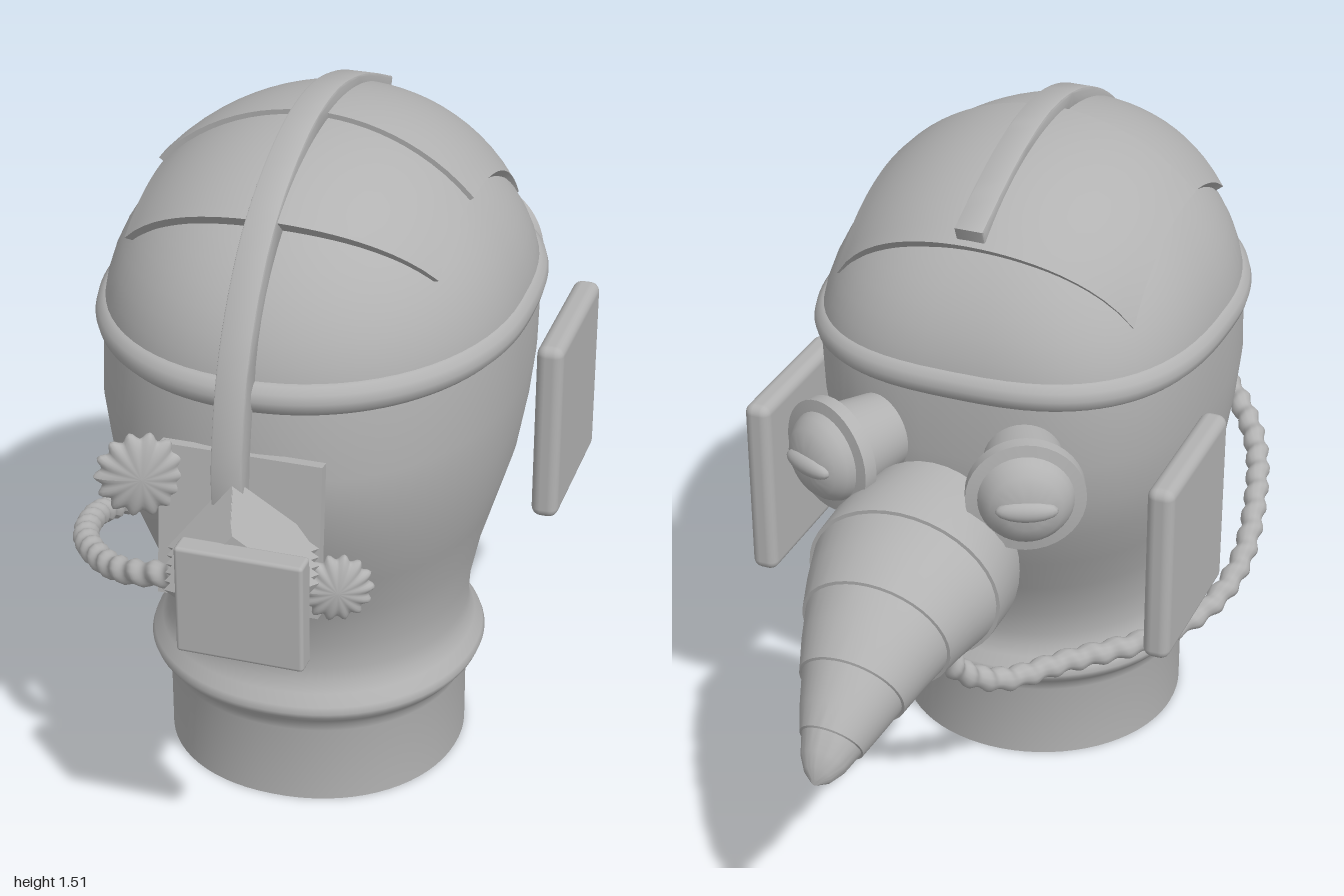
import * as THREE from 'three';
import { toCreasedNormals } from 'three/addons/utils/BufferGeometryUtils.js';
import { RoundedBoxGeometry } from 'three/addons/geometries/RoundedBoxGeometry.js';

const V = (x, y, z) => new THREE.Vector3(x, y, z);

// Closed skin over a list of equal rings, with both ends capped
function loft(rings, crease = 0.6) {
  const n = rings[0].length, pos = [], idx = [];
  rings.forEach(r => r.forEach(p => pos.push(p.x, p.y, p.z)));
  for (let i = 0; i < rings.length - 1; i++) {
    for (let j = 0; j < n; j++) {
      const a = i * n + j, b = i * n + (j + 1) % n, c = a + n, d = b + n;
      idx.push(a, c, b, b, c, d);
    }
  }
  [0, rings.length - 1].forEach((row, end) => {
    const mid = V(0, 0, 0);
    rings[row].forEach(p => mid.addScaledVector(p, 1 / n));
    const m = pos.length / 3;
    pos.push(mid.x, mid.y, mid.z);
    for (let j = 0; j < n; j++) {
      const a = row * n + j, b = row * n + (j + 1) % n;
      idx.push(m, end ? b : a, end ? a : b);
    }
  });
  const g = new THREE.BufferGeometry();
  g.setAttribute('position', new THREE.Float32BufferAttribute(pos, 3));
  g.setIndex(idx);
  return toCreasedNormals(g, crease);
}

// Horizontal oval: round at the back (+z), squarer at the face (-z)
function oval(y, rx, zBack, zFace, nFace, count = 72) {
  const cz = (zBack + zFace) / 2, rz = (zBack - zFace) / 2;
  return Array.from({ length: count }, (_, j) => {
    const t = j / count * Math.PI * 2, c = Math.cos(t), s = Math.sin(t);
    const e = 2 / (s < 0 ? nFace : 2.1);
    return V(0.01 + rx * Math.sign(c) * Math.abs(c) ** e, y, cz + rz * Math.sign(s) * Math.abs(s) ** e);
  });
}

export function createModel() {
  const model = new THREE.Group();
  const grey = new THREE.MeshStandardMaterial({ color: 0xb2b2b2 });
  grey.name = 'grey';
  const add = (name, geometry, parent = model) => {
    const mesh = new THREE.Mesh(geometry, grey);
    mesh.name = name;
    parent.add(mesh);
    return mesh;
  };

  // Neck, collar, face and dome: y, half width, back z, face z, squareness
  const rows = [
    [0, 0.33, 0.56, -0.1, 2], [0.18, 0.33, 0.56, -0.1, 2], [0.2, 0.335, 0.565, -0.106, 2],
    [0.22, 0.352, 0.582, -0.126, 2], [0.235, 0.365, 0.595, -0.14, 2], [0.248, 0.37, 0.6, -0.145, 2],
    [0.262, 0.365, 0.594, -0.139, 2], [0.285, 0.347, 0.575, -0.121, 2], [0.31, 0.336, 0.563, -0.111, 2],
    [0.34, 0.332, 0.56, -0.11, 2], [0.4, 0.335, 0.565, -0.12, 2], [0.5, 0.355, 0.6, -0.165, 2.1],
    [0.6, 0.385, 0.65, -0.22, 2.2], [0.7, 0.415, 0.695, -0.26, 2.4], [0.8, 0.43, 0.73, -0.29, 2.6],
    [0.9, 0.44, 0.745, -0.3, 2.7], [1.05, 0.44, 0.72, -0.3, 2.8]];
  for (let i = 1; i <= 14; i++) {
    const t = i / 14 * 1.56, k = Math.cos(t);
    rows.push([1.05 + 0.39 * Math.sin(t), 0.44 * k, 0.21 + 0.51 * k, 0.21 - 0.51 * k, 2.8 - 0.8 * i / 14]);
  }
  add('head', loft(rows.map(r => oval(...r)), 0.9));

  // Band around the brow
  const bandPath = new THREE.CatmullRomCurve3(oval(1.07, 0.42, 0.705, -0.28, 2.8, 48), true);
  add('browBand', new THREE.TubeGeometry(bandPath, 120, 0.036, 12, true));

  // Curved plates on the dome, bent from boxes; q is 0 in the middle and 1 at the sides
  function domePlate(name, zFace, zBack, scale) {
    const g = new THREE.BoxGeometry(1, 1, 1, 24, 1, 16), p = g.attributes.position;
    for (let i = 0; i < p.count; i++) {
      const x = p.getX(i) * 0.68, q = (x / 0.34) ** 2;
      const z0 = zFace(q), z = z0 + (zBack(q) - z0) * (p.getZ(i) + 0.5) - 0.21;
      const y = 0.435 * Math.sqrt(Math.max(0.02, 1 - (x / 0.455) ** 2 - (z / 0.585) ** 2));
      const k = p.getY(i) > 0 ? scale : scale * 0.9;
      p.setXYZ(i, 0.01 + x * k, 1.05 + y * k, 0.21 + z * k);
    }
    add(name, toCreasedNormals(g, 0.6));
  }
  domePlate('facePlate', q => -0.21 + 0.08 * q, () => 0.25, 1);
  domePlate('backPlate', () => 0.2, q => 0.58 - 0.1 * q, 0.975);

  // Crest strap running over the dome and down the back
  const crest = new THREE.SplineCurve([[-0.21, 1.39], [0, 1.475], [0.2, 1.51], [0.4, 1.475], [0.6, 1.36],
    [0.74, 1.17], [0.8, 0.95], [0.79, 0.78], [0.74, 0.59]].map(p => new THREE.Vector2(...p)));
  const outer = [], inner = [];
  for (let i = 0; i <= 48; i++) {
    const p = crest.getPoint(i / 48), t = crest.getTangent(i / 48);
    outer.push(p);
    inner.unshift(new THREE.Vector2(p.x + t.y * 0.055, p.y - t.x * 0.055));
  }
  const strap = new THREE.ExtrudeGeometry(new THREE.Shape([...outer, ...inner]),
    { depth: 0.055, bevelThickness: 0.005, bevelSize: 0.005, bevelOffset: -0.005, bevelSegments: 2 });
  strap.rotateY(-Math.PI / 2).translate(0.0355, 0, 0);
  add('crestStrap', toCreasedNormals(strap, 0.5));

  // Ear panels
  [['leftEarPanel', 0.475], ['rightEarPanel', -0.455]].forEach(([name, x]) =>
    add(name, new RoundedBoxGeometry(0.06, 0.42, 0.37, 3, 0.022)).position.set(x, 0.71, -0.12));

  // Overlapping beak segments: z, y, half width, half height, lean
  const beak = [
    [-0.4, 0.72, 0.195, 0.22, 0], [-0.5, 0.737, 0.213, 0.195, 0], [-0.56, 0.735, 0.216, 0.18, 0.01],
    [-0.56, 0.735, 0.208, 0.172, 0.01], [-0.63, 0.722, 0.188, 0.157, 0.02], [-0.7, 0.7, 0.165, 0.14, 0.03],
    [-0.7, 0.7, 0.158, 0.133, 0.03], [-0.76, 0.675, 0.138, 0.119, 0.035], [-0.82, 0.64, 0.115, 0.1, 0.04],
    [-0.82, 0.64, 0.109, 0.094, 0.04], [-0.88, 0.604, 0.086, 0.076, 0.038], [-0.92, 0.577, 0.068, 0.062, 0.035],
    [-0.92, 0.577, 0.063, 0.057, 0.035], [-0.96, 0.555, 0.048, 0.043, 0.022], [-0.985, 0.542, 0.03, 0.028, 0.01],
    [-1, 0.535, 0.008, 0.008, 0]];
  add('beak', loft(beak.map(([z, y, rx, ry, lean]) => Array.from({ length: 40 }, (_, j) => {
    const t = j / 40 * Math.PI * 2;
    return V(0.01 + rx * Math.cos(t), y + ry * Math.sin(t), z - lean * Math.sin(t));
  }))));

  // Eyes: stalk, flange and bulging lens with a lidded slit
  const eyeProfile = [[0, -0.14], [0.085, -0.14], [0.1, -0.018], [0.125, -0.016], [0.125, 0.014], [0.1, 0.018],
    [0.092, 0.035], [0.075, 0.054], [0.045, 0.068], [0.0001, 0.074]].map(p => new THREE.Vector2(...p));
  [['leftEye', 1], ['rightEye', -1]].forEach(([name, side]) => {
    const eye = new THREE.Group();
    eye.name = name;
    eye.position.set(0.01 + side * 0.22, 0.93, -0.43);
    eye.rotation.y = Math.atan2(side * 0.4, -0.9);
    add('eyeBody', toCreasedNormals(new THREE.LatheGeometry(eyeProfile, 36).rotateX(Math.PI / 2), 0.6), eye);
    add('eyeSlit', new THREE.SphereGeometry(1, 20, 12).scale(0.065, 0.024, 0.022), eye).position.z = 0.064;
    model.add(eye);
  });

  // Ribbed hose from the beak around the right side to the back valve
  const hosePath = new THREE.CatmullRomCurve3([[-0.04, 0.58, -0.5], [-0.06, 0.46, -0.44], [-0.12, 0.385, -0.34],
    [-0.22, 0.37, -0.2], [-0.36, 0.375, -0.06], [-0.45, 0.4, 0.07], [-0.482, 0.44, 0.2], [-0.465, 0.51, 0.37],
    [-0.4, 0.57, 0.56], [-0.25, 0.635, 0.74], [-0.08, 0.7, 0.82]].map(p => V(...p)));
  const hose = new THREE.TubeGeometry(hosePath, 320, 0.025, 12), hp = hose.attributes.position, hn = hose.attributes.normal;
  for (let i = 0; i < hp.count; i++) {
    const bump = 0.004 * Math.sin(Math.floor(i / 13) / 320 * Math.PI * 2 * 30 + (i % 13) / 12 * Math.PI * 2);
    hp.setXYZ(i, hp.getX(i) + hn.getX(i) * bump, hp.getY(i) + hn.getY(i) * bump, hp.getZ(i) + hn.getZ(i) * bump);
  }
  hose.computeVertexNormals();
  add('hose', hose);

  // Back valve: mounting plate, square bellows turned on edge and end plate
  const mount = add('valveMount', new THREE.BoxGeometry(0.34, 0.33, 0.025));
  mount.position.set(0.02, 0.79, 0.755);
  mount.rotation.x = -0.1;
  const bellows = [];
  for (let i = 0; i <= 12; i++) {
    const f = i / 12, r = i % 2 ? 0.15 : 0.122;
    bellows.push([0, 1, 2, 3].map(j => {
      const t = -j * Math.PI / 2 + 0.12, x = r * Math.cos(t);
      return V(0.03 + 0.06 * f + x, 0.775 + r * Math.sin(t), 0.77 + 0.18 * f - 0.2 * x);
    }));
  }
  add('valveBellows', loft(bellows, 0.3));
  add('valveEndPlate', new RoundedBoxGeometry(0.26, 0.235, 0.05, 2, 0.008)).position.set(0.1, 0.76, 0.972);

  // Fluted knobs beside the valve, both tilted the same way
  [['rightKnob', -0.18, 0.89, 0.775, 0.088], ['leftKnob', 0.225, 0.7, 0.77, 0.07]].forEach(([name, x, y, z, r]) => {
    const g = new THREE.SphereGeometry(1, 84, 14).rotateX(Math.PI / 2), p = g.attributes.position;
    for (let i = 0; i < p.count; i++) {
      const k = r * (1 + 0.09 * Math.cos(14 * Math.atan2(p.getY(i), p.getX(i))));
      p.setXYZ(i, p.getX(i) * k, p.getY(i) * k, p.getZ(i) * 0.025);
    }
    g.computeVertexNormals();
    const knob = add(name, g);
    knob.position.set(x, y, z);
    knob.rotation.y = 0.4;
  });

  return model;
}
